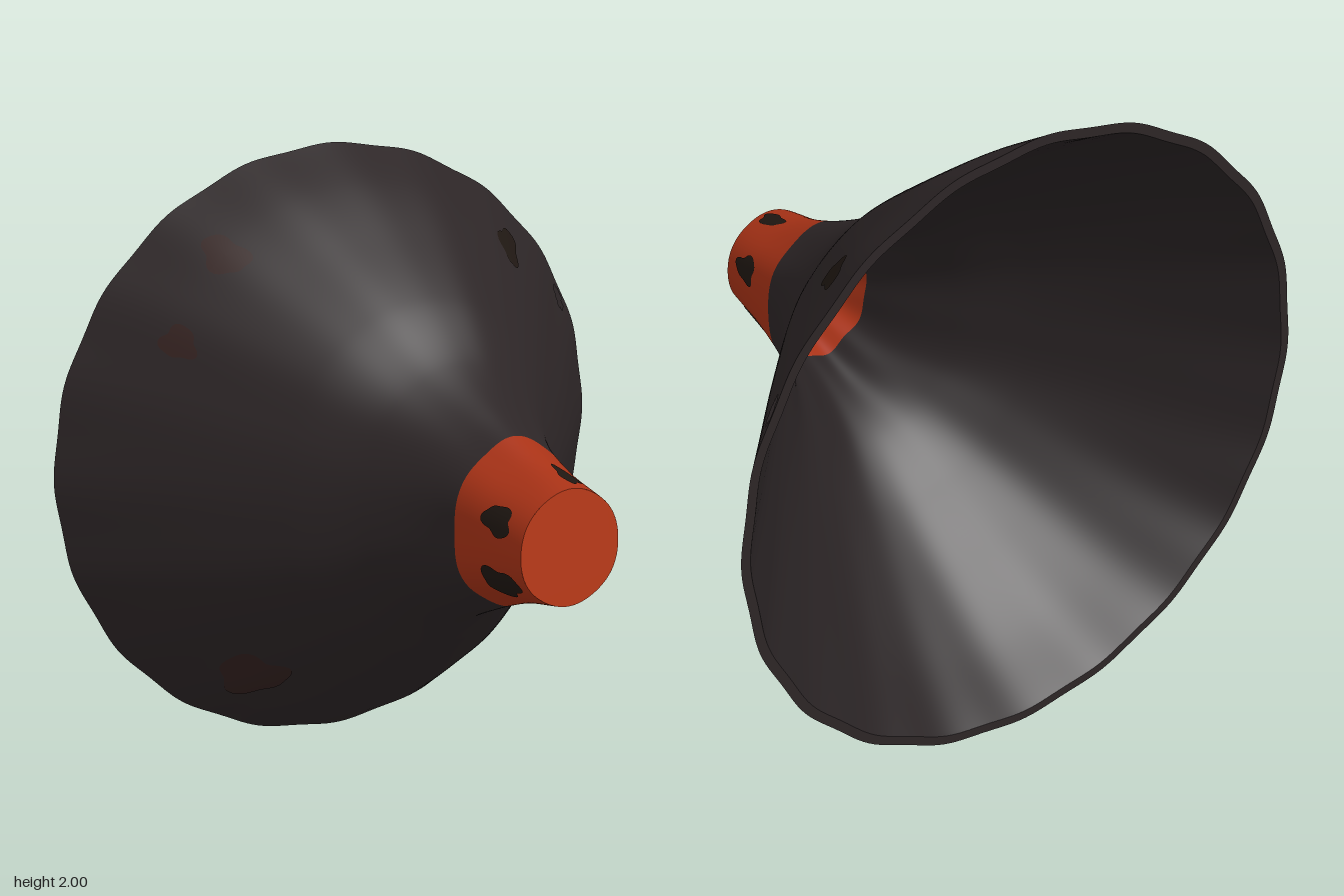
import * as THREE from 'three';

// Horn cross-sections from mouthpiece (z = 0.7) to bell rim (z = -0.7):
// half width, height above the axis, depth below the axis
const sections = [
  [0.168, 0.178, 0.17], [0.19, 0.225, 0.215], [0.235, 0.305, 0.295], [0.345, 0.42, 0.4],
  [0.51, 0.59, 0.56], [0.675, 0.74, 0.72], [0.835, 0.88, 0.87], [0.996, 0.996, 0.996],
];
const profile = new THREE.CatmullRomCurve3(
  sections.map((s) => new THREE.Vector3(...s)), false, 'catmullrom', 0.5);

const tAt = (z) => (0.7 - z) / 1.4;
const WALL = 0.03;

// Point on the horn wall; inset pushes it toward the axis
function wallPoint(angle, t, inset = 0) {
  const p = profile.getPoint(t);
  const edge = t ** 3;
  const ripple = 1
    + 0.004 * edge * Math.cos(20 * angle)
    + 0.006 * t * (1 - edge) * (Math.sin(5 * angle + 3 * t) + Math.cos(11 * angle - 2 * t))
    - 0.02 * Math.exp(-30 * (t - 0.2) ** 2) * Math.cos(6 * angle);
  const sin = Math.sin(angle);
  return new THREE.Vector3(
    (p.x * ripple - inset) * Math.cos(angle),
    1 + ((sin > 0 ? p.y : p.z) * ripple - inset) * sin,
    0.7 - 1.4 * t);
}

// Ragged hole worn through the wall near the rim
function inHole(angle, t) {
  const a = (angle - 0.452) / 0.046, b = (t - 0.96) / 0.024;
  return a * a + b * b < 1 + 0.3 * Math.sin(70 * angle + 150 * t);
}

function build(positions, index) {
  const geometry = new THREE.BufferGeometry();
  geometry.setAttribute('position', new THREE.Float32BufferAttribute(positions, 3));
  geometry.setIndex(index);
  geometry.computeVertexNormals();
  return geometry;
}

// Closed bands of skin; station(v) gives the position along the horn and the inset
function skin(rows, station, inward = false) {
  const sides = 280, positions = [], index = [];
  for (let r = 0; r <= rows; r++) for (let s = 0; s < sides; s++) {
    const angle = s / sides * Math.PI * 2;
    const [t, inset] = station(r / rows, angle);
    positions.push(...wallPoint(angle, t, inset).toArray());
  }
  for (let r = 0; r < rows; r++) for (let s = 0; s < sides; s++) {
    const angle = (s + 0.5) / sides * Math.PI * 2;
    if (inHole(angle, station((r + 0.5) / rows, angle)[0])) continue;
    const a = r * sides + s, b = r * sides + (s + 1) % sides;
    const c = a + sides, d = b + sides;
    if (inward) index.push(a, b, c, b, d, c);
    else index.push(a, c, b, b, c, d);
  }
  return build(positions, index);
}

// Flat disc following the cross-section
function disc(t, inset) {
  const points = [];
  for (let s = 0; s < 120; s++) {
    const p = wallPoint(s / 120 * Math.PI * 2, t, inset);
    points.push(new THREE.Vector2(p.x, p.y));
  }
  return new THREE.ShapeGeometry(new THREE.Shape(points)).translate(0, 0, 0.7 - 1.4 * t);
}

// Uneven blotch lying on the wall
function stain(angle, z, halfAngle, halfLength) {
  const geometry = new THREE.RingGeometry(0, 1, 36, 6);
  const pos = geometry.attributes.position;
  for (let i = 0; i < pos.count; i++) {
    const x = pos.getX(i), y = pos.getY(i), turn = Math.atan2(y, x);
    const wobble = 1 + 0.15 * Math.sin(3 * turn + 9 * angle) + 0.08 * Math.cos(5 * turn);
    const p = wallPoint(angle + x * wobble * halfAngle, tAt(z + y * wobble * halfLength), -0.003);
    pos.setXYZ(i, p.x, p.y, p.z);
  }
  geometry.computeVertexNormals();
  return geometry;
}

export function createModel() {
  const group = new THREE.Group();
  const material = (color) => new THREE.MeshStandardMaterial({ color, side: THREE.DoubleSide });
  const dark = material(0x2c2526), lining = material(0x282223), orange = material(0xa83216);
  const bright = material(0xbc3a18), soot = material(0x1f1712), rust = material(0x33211f);
  const add = (name, geometry, mat) => {
    const mesh = new THREE.Mesh(geometry, mat);
    mesh.name = name;
    group.add(mesh);
  };

  const collarEnd = tAt(0.4), throatEnd = tAt(0.5);
  const along = (t0, t1) => (v) => [t0 + (t1 - t0) * v, 0];
  // Inner wall with soft lengthwise folds that fade out at the rim
  const inside = (t0, t1) => (v, angle) => {
    const t = t0 + (t1 - t0) * v;
    return [t, WALL + 0.006 * (1 - t) * Math.sin(9 * angle + 8 * t)];
  };

  // Outer skin: orange mouthpiece collar, then dark bell
  add('mouthpieceCollar', skin(14, along(0, collarEnd)), orange);
  add('mouthpieceCap', disc(0, 0), bright);
  add('bellOuter', skin(90, along(collarEnd, 1)), dark);

  // Flat rim and inner skin
  add('bellRim', skin(1, (v) => [1, WALL * v]), dark);
  add('bellLining', skin(90, inside(collarEnd, 1), true), lining);
  add('throatLining', skin(4, inside(throatEnd, collarEnd), true), orange);
  add('throatEnd', disc(throatEnd, WALL - 0.004), orange);

  // Soot marks on the collar: angle, z, half angle, half length
  const sootMarks = [
    [1.35, 0.62, 0.16, 0.06], [2.75, 0.58, 0.22, 0.06], [3.75, 0.58, 0.3, 0.08],
    [5.4, 0.58, 0.3, 0.08], [0.35, 0.58, 0.22, 0.06],
  ];
  for (const mark of sootMarks) add('sootMark', stain(...mark), soot);

  // Faint weathering on the bell
  const rustMarks = [[2.2, -0.49, 0.07, 0.07], [2.57, -0.45, 0.06, 0.05], [4.07, -0.42, 0.13, 0.1]];
  for (const mark of rustMarks) add('rustMark', stain(...mark), rust);
  add('darkMark', stain(0.85, -0.47, 0.06, 0.08), soot);

  return group;
}
